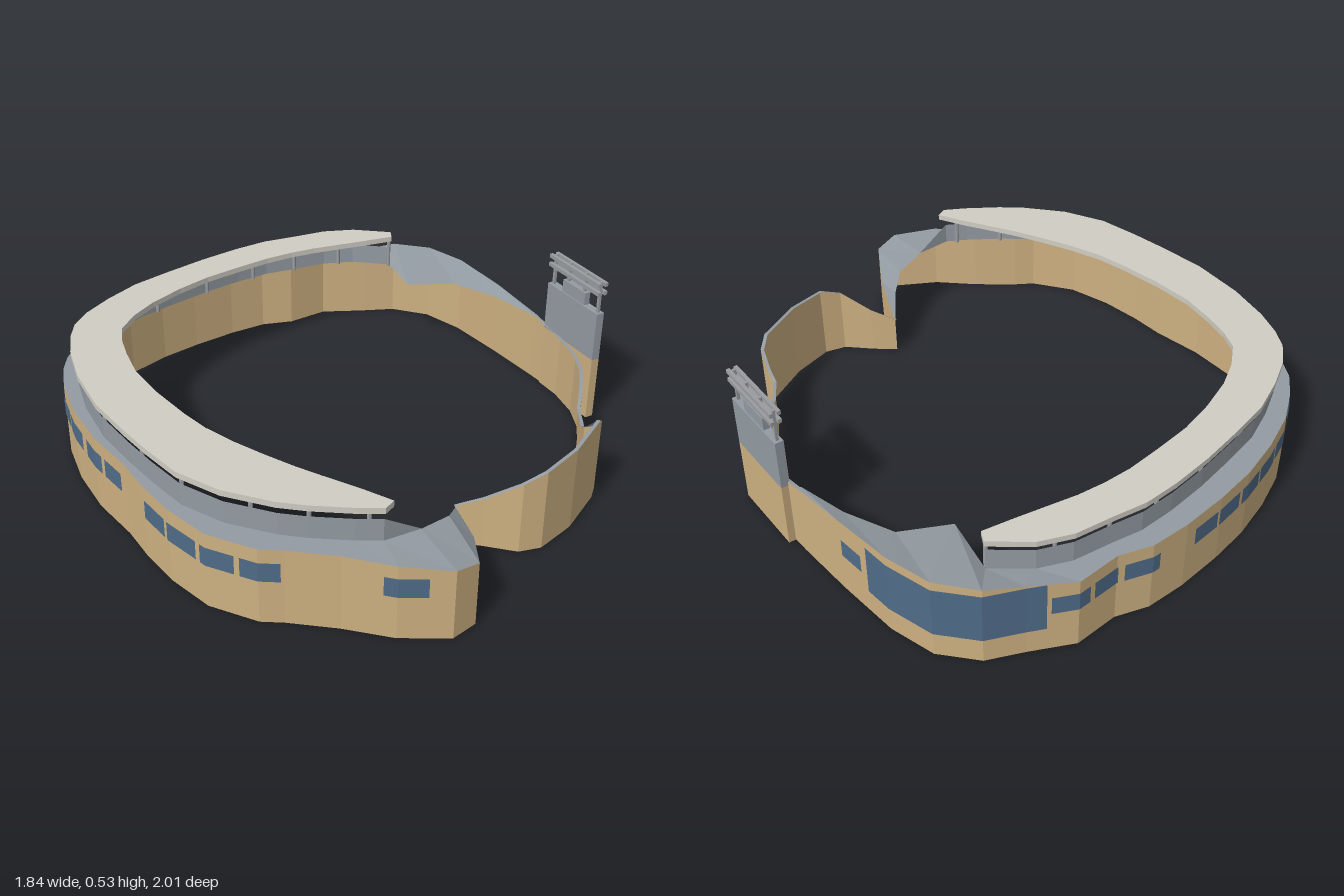
import * as THREE from 'three';

const mat = (name, color, side = THREE.DoubleSide) => {
  const m = new THREE.MeshStandardMaterial({ color, side, flatShading: true });
  m.name = name;
  return m;
};

// Outer wall of the terrace half: x, z, top height (back, round the right side, to the front)
const backWall = [[0.7, -0.53, 0.26], [0.56, -0.7, 0.285], [0.41, -0.87, 0.3], [0.28, -0.97, 0.3]];
const mainWall = [
  [0.135, -1, 0.295], [0.01, -0.97, 0.275], [-0.145, -0.94], [-0.26, -0.84], [-0.37, -0.8], [-0.48, -0.715],
  [-0.6, -0.6], [-0.7, -0.49], [-0.79, -0.36], [-0.86, -0.23], [-0.9, -0.1], [-0.915, 0],
  [-0.905, 0.08], [-0.87, 0.19], [-0.79, 0.34], [-0.68, 0.49], [-0.55, 0.62], [-0.47, 0.72],
  [-0.365, 0.83], [-0.235, 0.93], [-0.075, 0.98], [0, 0.975], [0.16, 0.98], [0.32, 1, 0.255],
];
const frontWall = [[0.48, 0.98, 0.24], [0.54, 0.91, 0.22], [0.52, 0.74, 0.18], [0.47, 0.57, 0.14]];
// Free-standing wall on the left side
const leftWall = [
  [0.47, 0.57, 0.14], [0.46, 0.54, 0.14], [0.55, 0.545, 0.18], [0.66, 0.56, 0.25], [0.73, 0.53, 0.28],
  [0.82, 0.41, 0.29], [0.895, 0.24, 0.295], [0.905, 0.19, 0.265], [0.88, 0.14, 0.21], [0.86, 0.11, 0.185],
  [0.85, 0, 0.185], [0.86, -0.1, 0.215], [0.86, -0.19, 0.23], [0.84, -0.29, 0.235], [0.77, -0.44, 0.24],
  [0.7, -0.53, 0.26],
];
// Inner edge of the terrace, one point per wall point
const backInner = [[0.69, -0.52, 0.26], [0.55, -0.64, 0.265], [0.39, -0.73, 0.265], [0.215, -0.7, 0.265]];
const parapetLine = [
  [0.125, -0.88], [-0.02, -0.885], [-0.13, -0.855], [-0.24, -0.79], [-0.34, -0.735], [-0.435, -0.655],
  [-0.54, -0.55], [-0.645, -0.43], [-0.735, -0.32], [-0.8, -0.2], [-0.845, -0.09], [-0.86, 0],
  [-0.85, 0.08], [-0.82, 0.18], [-0.755, 0.32], [-0.65, 0.48], [-0.53, 0.61], [-0.44, 0.7],
  [-0.33, 0.8], [-0.19, 0.87], [-0.03, 0.905], [0.06, 0.91], [0.19, 0.905], [0.27, 0.895],
];
const frontInner = [[0.37, 0.82, 0.255], [0.445, 0.72, 0.235], [0.46, 0.63, 0.2], [0.46, 0.55, 0.14]];
// Inner edge of the canopy
const canopyInner = [
  [0.135, -0.86], [0.04, -0.81], [-0.06, -0.76], [-0.15, -0.715], [-0.23, -0.665], [-0.31, -0.605],
  [-0.4, -0.52], [-0.5, -0.42], [-0.58, -0.315], [-0.65, -0.2], [-0.69, -0.1], [-0.71, 0],
  [-0.69, 0.08], [-0.65, 0.17], [-0.59, 0.28], [-0.49, 0.4], [-0.38, 0.51], [-0.3, 0.58],
  [-0.2, 0.645], [-0.1, 0.7], [0, 0.75], [0.08, 0.785], [0.2, 0.835], [0.295, 0.88],
];
// Windows as start and end bearings in degrees
const windows = [
  [67.7, 74.3], [90.6, 97.7], [98.7, 105.5], [106.5, 114.2], [115, 122.2], [133, 140], [141.3, 149.3],
  [151.8, 160.8], [161.4, 168], [169.8, 178.5], [180.3, 186.4], [187, 193.4], [194.2, 200.5], [201.3, 209],
  [209.7, 217.2], [218.2, 225.5], [226.2, 233.5], [243.4, 251.2], [252.6, 258], [259, 266.2], [302.4, 308.2],
];

// Surface between two equally long rows of 3D points
function strip(a, b) {
  const pos = [];
  for (let i = 0; i < a.length - 1; i++) {
    pos.push(...a[i], ...b[i], ...a[i + 1], ...a[i + 1], ...b[i], ...b[i + 1]);
  }
  const g = new THREE.BufferGeometry();
  g.setAttribute('position', new THREE.Float32BufferAttribute(pos, 3));
  g.computeVertexNormals();
  return g;
}

const TERRACE = 0.26;
const lift = (pts, y) => pts.map((p) => [p[0], y ?? p[2] ?? TERRACE, p[1]]);

// Point of the wall outline at a bearing
function wallAt(outline, deg) {
  const dx = Math.cos(deg * Math.PI / 180), dz = Math.sin(deg * Math.PI / 180);
  let best = 0;
  for (let i = 0; i < outline.length - 1; i++) {
    const [ax, az] = outline[i], ex = outline[i + 1][0] - ax, ez = outline[i + 1][1] - az;
    const det = dx * ez - dz * ex;
    if (Math.abs(det) < 1e-9) continue;
    const r = (ax * ez - az * ex) / det, s = (ax * dz - az * dx) / det;
    if (s >= -1e-6 && s <= 1 + 1e-6 && r > best) best = r;
  }
  return [dx * best, dz * best];
}

export function createModel() {
  const tan = mat('tan wall', 0xcdb081);
  const grey = mat('slate grey', 0x939ba2);
  const roof = mat('pale roof', 0xd0cdc3, THREE.FrontSide);
  const glass = mat('blue glass', 0x4f6b88);
  const metal = mat('metal', 0x9a9da0, THREE.FrontSide);

  const model = new THREE.Group();
  const add = (name, geo, material, parent = model) => {
    const m = new THREE.Mesh(geo, material);
    m.name = name;
    parent.add(m);
    return m;
  };

  // Walls
  const outer = [...backWall, ...mainWall, ...frontWall];
  add('terraceWall', strip(lift(outer), lift(outer, 0)), tan);
  add('leftWall', strip(lift(leftWall), lift(leftWall, 0)), tan);
  const leftInner = leftWall.map(([x, z, y]) => [x * 0.987, z * 0.987, y]);
  add('leftWallCap', strip(lift(leftWall), lift(leftInner)), grey);

  // Terrace and the parapet on its inner edge
  add('terrace', strip(lift(outer), lift([...backInner, ...parapetLine, ...frontInner])), grey);
  const parapetFoot = [...lift(parapetLine), [0.37, 0.255, 0.82]];
  const parapetTop = [...lift(parapetLine, 0.335), [0.37, 0.256, 0.82]];
  add('parapet', strip(parapetTop, parapetFoot), grey);

  // Canopy slab
  const rim = parapetLine.map(([x, z]) => new THREE.Vector2(x * 1.02, z * 1.025));
  const inner = canopyInner.map(([x, z]) => new THREE.Vector2(x, z)).reverse();
  const slab = new THREE.ExtrudeGeometry(new THREE.Shape([...rim, ...inner]), { depth: 0.02, bevelEnabled: false });
  slab.rotateX(Math.PI / 2);
  add('canopy', slab, roof).position.y = 0.389;

  // Canopy columns
  const columnGeo = new THREE.CylinderGeometry(0.007, 0.007, 0.115, 8);
  for (let i = 0; i < parapetLine.length; i += 1.5) {
    const a = parapetLine[Math.floor(i)], b = parapetLine[Math.ceil(i)];
    add('canopyColumn', columnGeo, metal).position.set((a[0] + b[0]) * 0.495, 0.3175, (a[1] + b[1]) * 0.495);
  }

  // Windows hugging the wall
  const addWindow = (name, from, to, y0, y1) => {
    const bearings = outer.map(([x, z]) => (Math.atan2(z, x) * 180 / Math.PI + 360) % 360)
      .filter((d) => d > from && d < to);
    const pts = [from, ...bearings.sort((p, q) => p - q), to]
      .map((d) => wallAt(outer, d).map((v) => v * 1.004));
    add(name, strip(lift(pts, y1), lift(pts, y0)), glass);
  };
  for (const [from, to] of windows) addWindow('window', from, to, 0.15, 0.215);
  addWindow('largeWindow', 267, 300.7, 0.09, 0.272);

  // Tower slab with rails
  const tower = new THREE.Group();
  tower.name = 'tower';
  tower.position.set(0.825, 0, -0.375);
  tower.rotation.y = Math.atan2(0.16, 0.225);
  model.add(tower);
  const box = (name, w, h, d, x, y, z, m) =>
    add(name, new THREE.BoxGeometry(w, h, d), m, tower).position.set(x, y, z);
  box('towerBase', 0.03, 0.235, 0.28, 0, 0.1175, 0, tan);
  box('towerTop', 0.03, 0.18, 0.28, 0, 0.325, 0, grey);
  box('towerBlock', 0.022, 0.046, 0.125, 0, 0.438, 0, grey);
  for (const z of [-0.125, -0.045, 0.045, 0.125]) box('railPost', 0.01, 0.115, 0.01, 0, 0.4725, z, metal);
  for (const y of [0.491, 0.523]) {
    for (const x of [-0.013, 0.013]) box('rail', 0.012, 0.014, 0.28, x, y, 0, metal);
  }
  return model;
}
